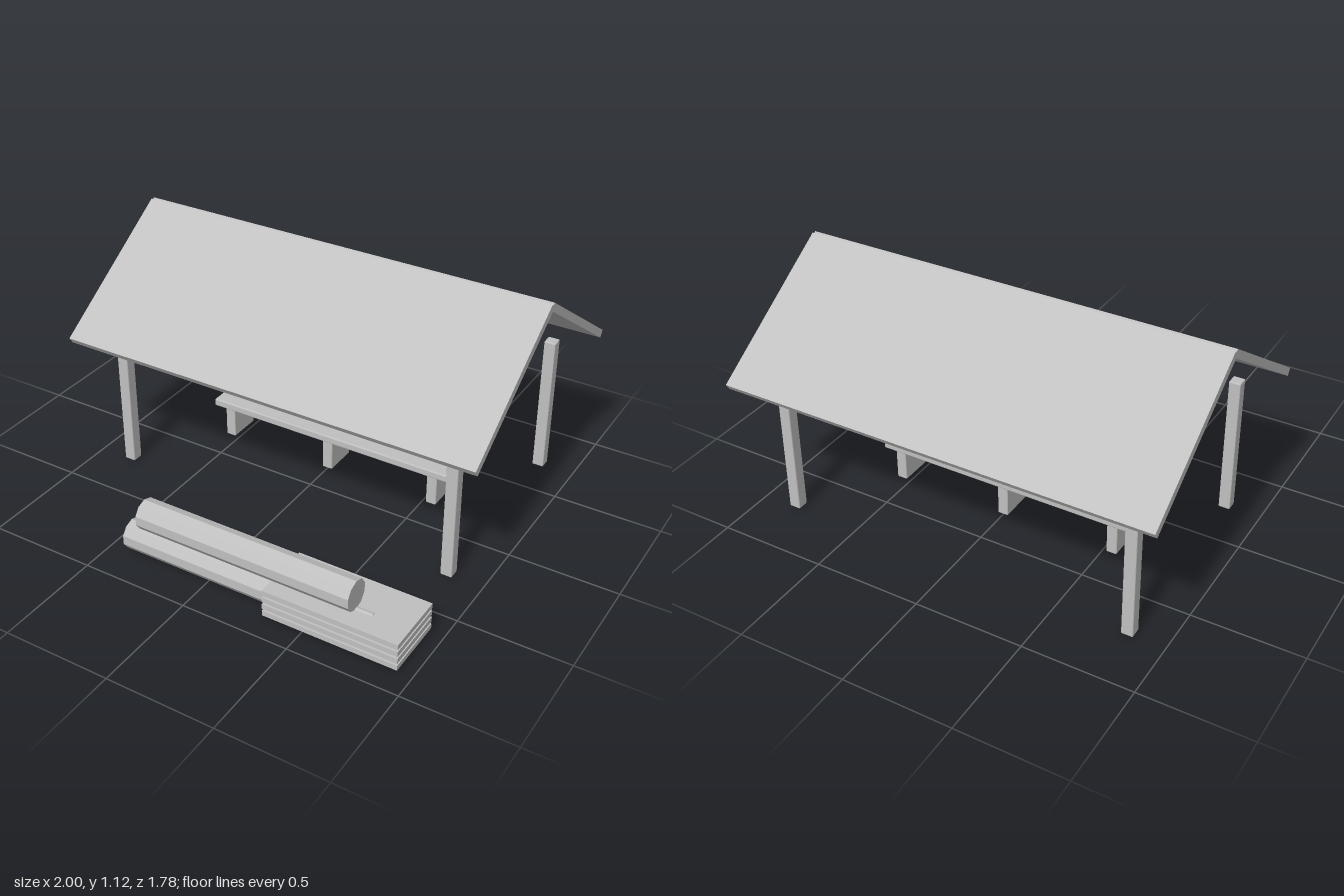
import * as THREE from 'three';
import { RoundedBoxGeometry } from 'three/addons/geometries/RoundedBoxGeometry.js';

export function createModel() {
  const model = new THREE.Group();
  model.name = 'sawmillShelter';
  const grey = new THREE.MeshStandardMaterial({ color: 0xc0c0c0 });
  grey.name = 'plain grey';
  grey.flatShading = true;

  const add = (name, geometry, x, y, z) => {
    const mesh = new THREE.Mesh(geometry, grey);
    mesh.name = name;
    mesh.position.set(x, y, z);
    model.add(mesh);
    return mesh;
  };
  const box = (name, w, h, d, x, y, z) => add(name, new THREE.BoxGeometry(w, h, d), x, y, z);
  // Box with narrow chamfered edges
  const beam = (name, w, h, d, x, y, z) =>
    add(name, new RoundedBoxGeometry(w, h, d, 1, 0.005), x, y, z);
  // Ten-sided log lying along x, from x0 to x1
  const log = (name, x0, x1, y, z, r, roll) => {
    const g = new THREE.CylinderGeometry(r, r, x1 - x0, 10);
    g.rotateZ(Math.PI / 2);
    g.rotateX(roll);
    return add(name, g, (x0 + x1) / 2, y, z);
  };

  const midZ = -0.233;

  // Pitched roof and the four posts
  for (const side of [1, -1]) {
    const panel = box('roofPanel', 2, 0.036, 0.78, 0, 0.885, midZ + side * 0.323);
    panel.rotation.x = side * 0.588;
    for (const x of [-0.833, 0.833]) {
      beam('post', 0.054, 0.663, 0.054, x, 0.335, midZ + side * 0.479);
    }
  }

  // Saw bench
  beam('benchTop', 1.25, 0.035, 0.184, 0, 0.17, midZ);
  for (const x of [-0.543, 0, 0.543]) beam('benchLeg', 0.05, 0.15, 0.164, x, 0.079, midZ);
  log('benchLog', -0.21, 0.622, 0.262, midZ, 0.069, 0);
  box('sawBlade', 0.012, 0.142, 0.187, 0.125, 0.339, midZ);

  // Stacked logs in front
  const roll = Math.PI / 10;
  log('lowerLog', -0.417, 0.768, 0.071, 0.784, 0.07, roll);
  log('upperLog', -0.341, 0.69, 0.202, 0.784, 0.07, roll);

  // Pile of sawn planks
  for (let i = 0; i < 4; i++) {
    box('plank', 0.62, 0.024, 0.288, 0.624, 0.0215 + i * 0.0345, 0.746);
  }

  return model;
}
